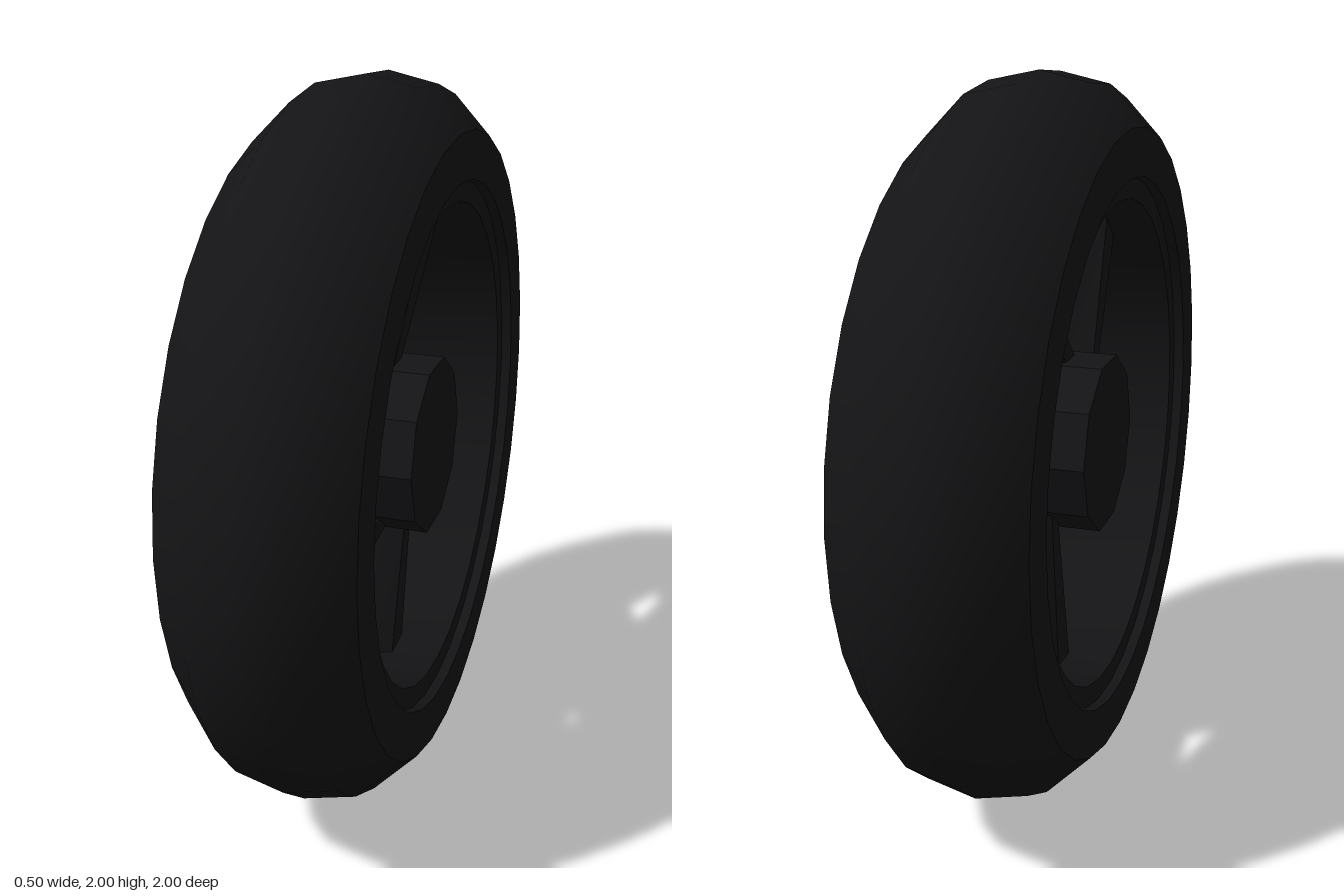
import * as THREE from 'three';
import { toCreasedNormals } from 'three/addons/utils/BufferGeometryUtils.js';

const rubber = new THREE.MeshStandardMaterial({ color: 0x141416 });
const metal = new THREE.MeshStandardMaterial({ color: 0x141416 });

function addMesh(parent, name, geometry, material) {
  const mesh = new THREE.Mesh(geometry, material);
  mesh.name = name;
  parent.add(mesh);
  return mesh;
}

// Ring turned about the x axis from a closed [radius, x] profile
function ring(profile) {
  const points = profile.map(([r, x]) => new THREE.Vector2(r, x));
  const geometry = new THREE.LatheGeometry(points, 32).rotateZ(Math.PI / 2);
  return toCreasedNormals(geometry, 0.7);
}

// Six-sided tapering spoke lofted between two sections; a and b are [z, y] edges
function spokeGeometry(sections) {
  const outline = [[0, 0], [0.25, 1], [0.75, 1], [1, 0], [0.75, -1], [0.25, -1]];
  const position = [], index = [];
  for (const { a, b, depth } of sections) {
    for (const [t, side] of outline) {
      position.push(side * depth, a[1] + (b[1] - a[1]) * t, a[0] + (b[0] - a[0]) * t);
    }
  }
  for (let i = 0; i < 6; i++) {
    const j = (i + 1) % 6;
    index.push(i, i + 6, j, j, i + 6, j + 6);
  }
  const geometry = new THREE.BufferGeometry();
  geometry.setAttribute('position', new THREE.Float32BufferAttribute(position, 3));
  geometry.setIndex(index);
  return toCreasedNormals(geometry, 0.3);
}

export function createModel() {
  const model = new THREE.Group();
  model.name = 'wheel';
  const wheel = new THREE.Group();
  wheel.name = 'wheelAssembly';
  wheel.position.y = 1;
  model.add(wheel);

  // Tyre with a rounded tread and flat sidewalls
  addMesh(wheel, 'tyre', ring([
    [0.73, -0.25], [0.86, -0.25], [0.97, -0.14], [1, 0],
    [0.97, 0.14], [0.86, 0.25], [0.73, 0.25], [0.73, -0.25],
  ]), rubber);

  // Rim set slightly in from the sidewalls
  addMesh(wheel, 'rim', ring([
    [0.67, -0.22], [0.74, -0.22], [0.74, 0.22], [0.67, 0.22], [0.67, -0.22],
  ]), metal);

  // Ten-sided hub
  const hub = new THREE.CylinderGeometry(0.245, 0.245, 0.4, 10).rotateZ(Math.PI / 2);
  addMesh(wheel, 'hub', toCreasedNormals(hub, 0.3), metal);

  // Five slanted spokes, each leaving one face of the hub
  const spokeMaterial = metal.clone();
  spokeMaterial.side = THREE.DoubleSide;
  const spoke = spokeGeometry([
    { a: [0.198, -0.144], b: [0.076, -0.233], depth: 0.09 },
    { a: [0.69, -0.14], b: [0.605, -0.337], depth: 0.085 },
  ]);
  for (let i = 0; i < 5; i++) {
    addMesh(wheel, 'spoke', spoke, spokeMaterial).rotation.x = (i * Math.PI * 2) / 5;
  }

  return model;
}
